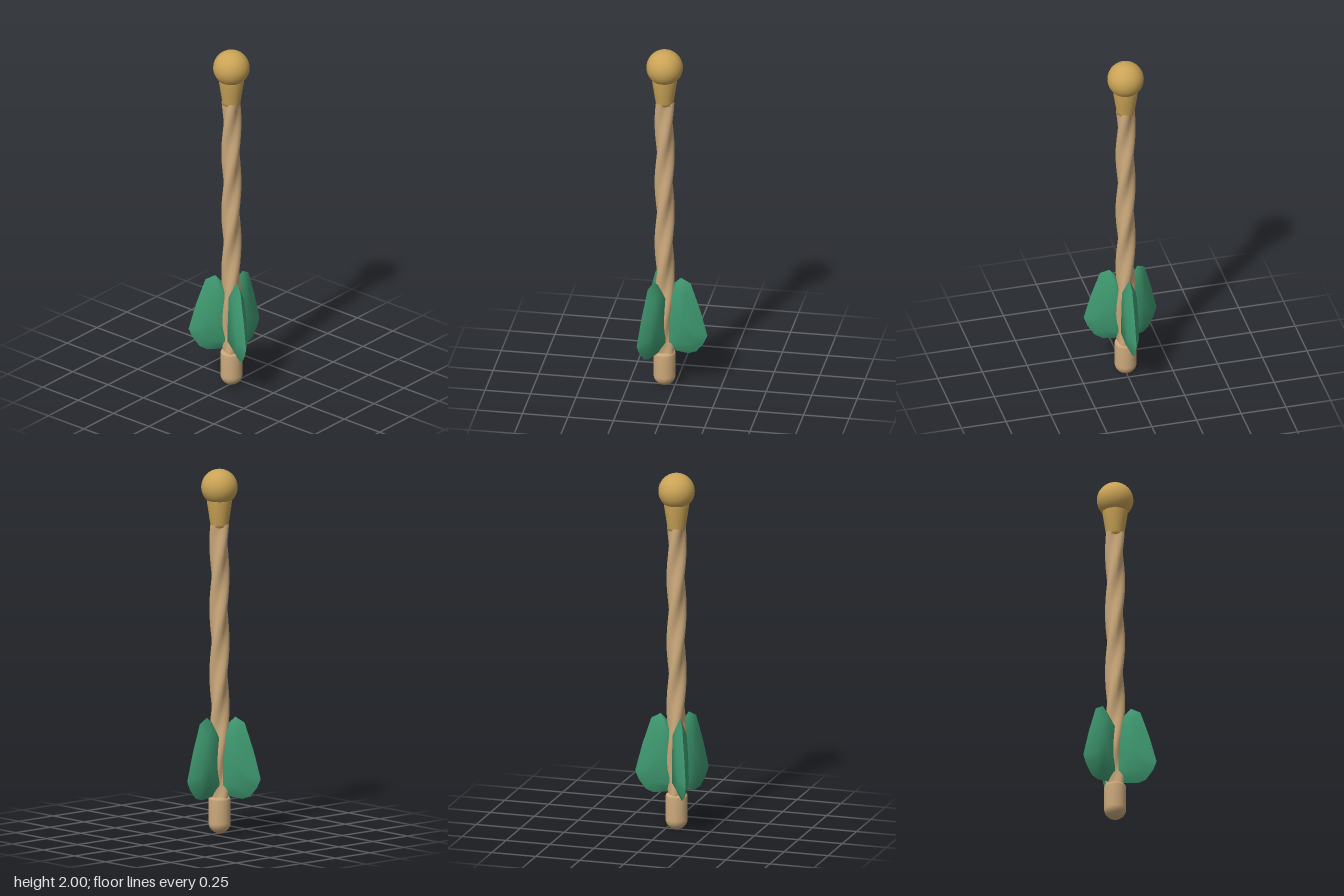
import * as THREE from 'three';

const gold = new THREE.MeshStandardMaterial({ color: 0xcaa356 });
gold.name = 'gold';
const wood = new THREE.MeshStandardMaterial({ color: 0xccaa7c });
wood.name = 'wood';
const green = new THREE.MeshStandardMaterial({ color: 0x3f9a71, side: THREE.DoubleSide });
green.name = 'green';

function lathe(points, segments = 32) {
  return new THREE.LatheGeometry(points.map(([r, y]) => new THREE.Vector2(r, y)), segments);
}

// Three-lobed rod, twisted along its length
function twistedShaft(y0, y1) {
  const geo = new THREE.CylinderGeometry(1, 1, y1 - y0, 36, 120, true);
  geo.translate(0, (y0 + y1) / 2, 0);
  const pos = geo.attributes.position;
  for (let i = 0; i < pos.count; i++) {
    const y = pos.getY(i);
    const angle = Math.atan2(pos.getZ(i), pos.getX(i));
    const r = 0.048 + 0.0065 * Math.cos(3 * angle + (2 * Math.PI * (y - 1.45)) / 0.36);
    pos.setXYZ(i, r * Math.cos(angle), y, r * Math.sin(angle));
  }
  geo.computeVertexNormals();
  return geo;
}

// Fin: sharp rim rising to a thicker middle; each side is its own smooth face
const rim = [[0.03, 0.21], [0.13, 0.195], [0.174, 0.21], [0.215, 0.262], [0.235, 0.31],
  [0.195, 0.46], [0.143, 0.615], [0.09, 0.645], [0.03, 0.59]];
const ridge = [[0.03, 0.27], [0.12, 0.26], [0.145, 0.27], [0.16, 0.3], [0.168, 0.33],
  [0.15, 0.45], [0.115, 0.55], [0.085, 0.57], [0.03, 0.53]];

function finGeometry() {
  const n = rim.length, positions = [], index = [];
  for (const side of [1, -1]) {
    const base = positions.length / 3;
    rim.forEach(([r, y]) => positions.push(r, y, 0));
    ridge.forEach(([r, y]) => positions.push(r, y, side * 0.032));
    positions.push(0.1, 0.4, side * 0.034);
    const tri = (a, b, c) => index.push(base + a, base + (side > 0 ? b : c), base + (side > 0 ? c : b));
    for (let i = 0; i < n; i++) {
      const j = (i + 1) % n;
      tri(i, j, n + j);
      tri(i, n + j, n + i);
      tri(n + i, n + j, 2 * n);
    }
  }
  const geo = new THREE.BufferGeometry();
  geo.setAttribute('position', new THREE.Float32BufferAttribute(positions, 3));
  geo.setIndex(index);
  geo.computeVertexNormals();
  return geo;
}

export function createModel() {
  const group = new THREE.Group();
  const add = (name, geometry, material) => {
    const mesh = new THREE.Mesh(geometry, material);
    mesh.name = name;
    mesh.position.z = 0.058;
    group.add(mesh);
    return mesh;
  };

  // Ball tip and tapered collar
  add('ballTip', new THREE.SphereGeometry(0.099, 32, 24).translate(0, 1.901, 0), gold);
  add('collar', lathe([[0, 1.675], [0.035, 1.677], [0.046, 1.684], [0.05, 1.7],
    [0.06, 1.765], [0.069, 1.825], [0.066, 1.835], [0, 1.836]]), gold);

  add('shaft', twistedShaft(0.17, 1.7), wood);

  // Rounded end cap
  const cap = [];
  for (let i = 0; i <= 8; i++) {
    const a = (i / 8) * Math.PI / 2;
    cap.push([0.06 * Math.sin(a), 0.058 - 0.058 * Math.cos(a)]);
  }
  cap.push([0.06, 0.12], [0.06, 0.185], [0.057, 0.196], [0.048, 0.202], [0, 0.203]);
  add('endCap', lathe(cap), wood);

  // Three fins around the shaft, one pointing back
  const fin = finGeometry();
  ['backFin', 'rightFin', 'leftFin'].forEach((name, i) => {
    add(name, fin, green).rotation.y = Math.PI / 2 + (i * 2 * Math.PI) / 3;
  });
  return group;
}
